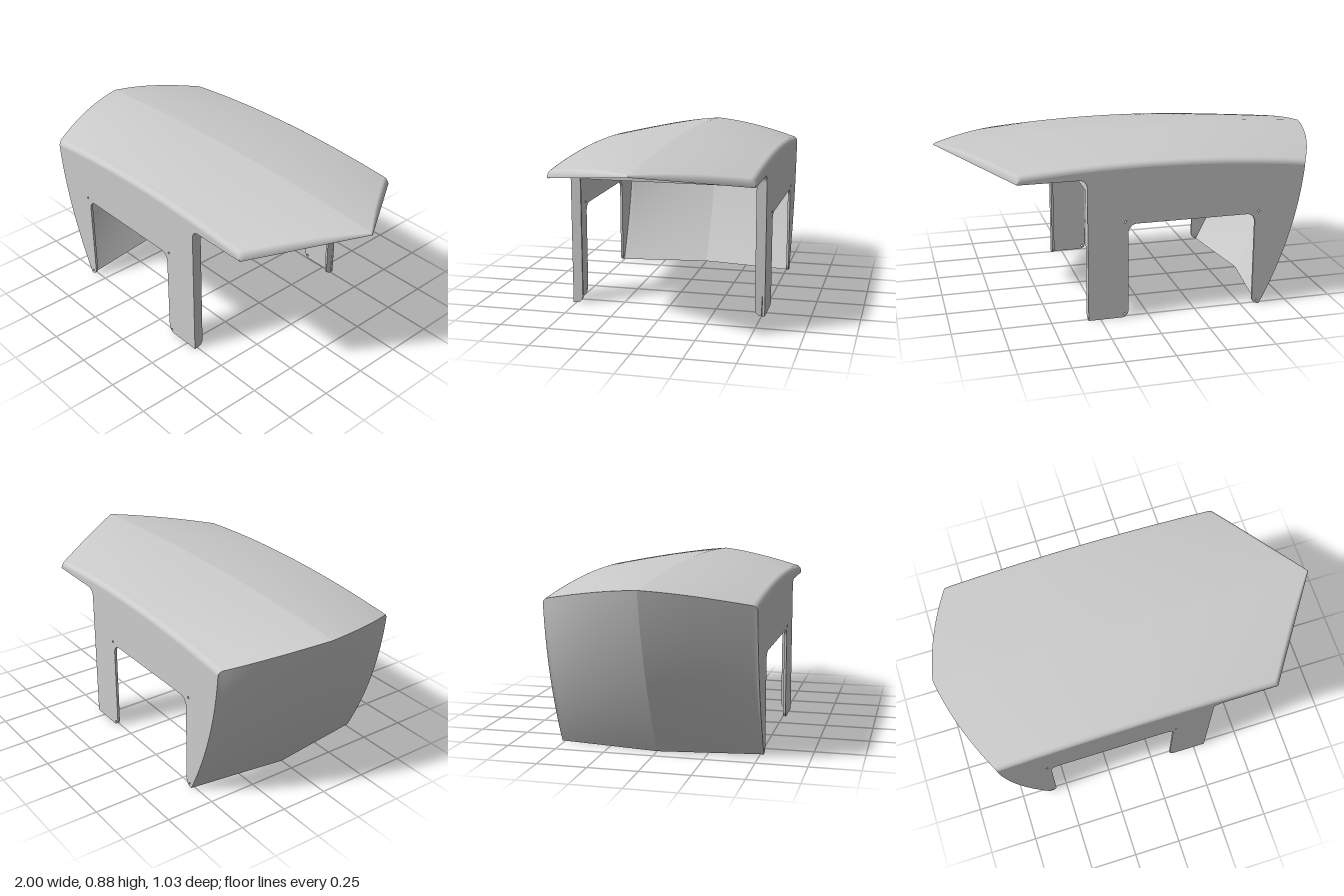
import * as THREE from 'three';

const HALF = 0.517, SKIN = 0.013, INNER = HALF - SKIN;
const BEAM_X = 0.313, BEAM_Y = 0.675, FILLET = 0.04;
const PI = Math.PI, lerp = THREE.MathUtils.lerp;

// Roof cross-section, from ridge (t = 0) over the rounded eave (t = 1)
function section(t) {
  if (t <= 0.85) {
    const k = t / 0.85;
    return { z: 0.487 * k, drop: 0.034 * k + 0.03 * k * k };
  }
  const a = (t - 0.85) / 0.15 * PI / 2;
  return { z: 0.487 + 0.03 * Math.sin(a), drop: 0.064 + 0.028 * (1 - Math.cos(a)) };
}
// Lengthwise crown, stronger towards the eaves
const crown = z => 0.038 + 0.13 * z * z;
const roofY = (x, drop, z) => 0.877 - drop - crown(z) * x * x;
const underY = z => 0.83 - 0.09 * z / HALF;
const tipX = z => 1 - 0.345 * z / HALF;

// Curved, V-shaped end wall: x at height fraction v and half-width z
function prowX(v, z) {
  const k = z / HALF;
  return lerp(-0.67 - 0.33 * v, -0.6 - 0.22 * v, k) - 0.16 * v * (1 - v) - 0.1 * v * k * (1 - k);
}

// Outer roof skin and the rounded nose that ends it
const noseSize = (z, drop) => Math.min(0.03, roofY(tipX(z), drop, z) - underY(z));
function roofPoint(t, v) {
  const { z, drop } = section(t);
  const x = lerp(prowX(1, z), tipX(z) - noseSize(z, drop), v);
  return [x, roofY(x, drop, z), z];
}
function nosePoint(t, v) {
  const { z, drop } = section(t);
  const size = noseSize(z, drop), start = tipX(z) - size, a = v * PI / 2;
  return [start + size * Math.sin(a), lerp(underY(z), roofY(start, drop, z), Math.cos(a)), z];
}

// Inner roof skin, running into the overhang until it meets the underside
function ceilingPoint(t, v) {
  const s = section(t), z = s.z * INNER / HALF;
  const room = 0.877 - s.drop - underY(z) - 2 * SKIN;
  const end = Math.min(Math.sqrt(room / crown(z)), tipX(z) - 0.03);
  const x = lerp(prowX(1, z) + SKIN, end, v);
  return [x, roofY(x, s.drop, z) - SKIN, z];
}

// Blend between the end frame and the overhang
function blendPoint(z, v, radius) {
  const a = v * PI / 2;
  return [BEAM_X + FILLET - radius * Math.cos(a), underY(z) - FILLET + radius * Math.sin(a), z];
}
const between = (p, q, v) => p.map((value, i) => lerp(value, q[i], v));

export function createModel() {
  const group = new THREE.Group();
  const material = new THREE.MeshStandardMaterial({ color: 0xcccccc, side: THREE.DoubleSide });

  function add(name, geometry) {
    const mesh = new THREE.Mesh(geometry, material);
    mesh.name = name;
    group.add(mesh);
    return mesh;
  }

  // Half surface point(t, v), added on both sides of the ridge so the centre stays creased
  function mirrored(name, point, nt, nv, flip) {
    for (const side of [1, -1]) {
      const pos = [], index = [];
      for (let j = 0; j <= nv; j++)
        for (let i = 0; i <= nt; i++) {
          const [x, y, z] = point(i / nt, j / nv);
          pos.push(x, y, side * z);
        }
      for (let j = 0; j < nv; j++)
        for (let i = 0; i < nt; i++) {
          const a = j * (nt + 1) + i, b = a + 1, d = a + nt + 1, c = d + 1;
          if ((side < 0) !== flip) index.push(a, d, b, b, d, c);
          else index.push(a, b, d, b, c, d);
        }
      const geometry = new THREE.BufferGeometry();
      geometry.setAttribute('position', new THREE.Float32BufferAttribute(pos, 3));
      geometry.setIndex(index);
      geometry.computeVertexNormals();
      add(name + (side > 0 ? 'Left' : 'Right'), geometry);
    }
  }

  // Crowned roof skin with rounded nose, and the ceiling inside it
  mirrored('roof', (t, v) => v <= 0.8 ? roofPoint(t, v / 0.8) : nosePoint(t, (v - 0.8) / 0.2), 40, 40, false);
  mirrored('ceiling', ceilingPoint, 40, 24, true);

  // Curved end wall: outside, inside and bottom edge
  mirrored('endWallOutside', (t, v) => {
    const { z } = section(t);
    return [prowX(v, z), v * roofPoint(t, 0)[1], z];
  }, 40, 24, false);
  mirrored('endWallInside', (t, v) => {
    const [, top, z] = ceilingPoint(t, 0);
    return [prowX(v, z) + SKIN, v * top, z];
  }, 40, 24, true);
  mirrored('endWallBottom', (t, v) => {
    const z = t * lerp(HALF, INNER, v);
    return [prowX(0, z) + v * SKIN, 0, z];
  }, 8, 1, true);

  // Pointed overhang: underside and its hidden inner face
  mirrored('overhangUnderside', (t, v) => {
    const z = t * HALF;
    return [lerp(BEAM_X + FILLET, tipX(z), v), underY(z), z];
  }, 8, 1, true);
  mirrored('overhangInside', (t, v) => {
    const end = ceilingPoint(t, 1);
    return between(blendPoint(end[2], 1, FILLET + SKIN), end, v);
  }, 40, 1, false);
  mirrored('frameBlend', (t, v) => blendPoint(t * HALF, v, FILLET), 4, 10, true);
  mirrored('frameBlendInside', (t, v) => blendPoint(t * INNER, v, FILLET + SKIN), 4, 10, false);

  // End frame: thin plate with a wide doorway, drawn across z and turned to face +x
  const frame = new THREE.Shape();
  frame.moveTo(-HALF, 0);
  frame.absarc(-0.5, 0.035, 0.035, -PI / 2, 0, false);
  frame.lineTo(-0.465, BEAM_Y);
  frame.lineTo(0.465, BEAM_Y);
  frame.absarc(0.5, 0.035, 0.035, PI, PI * 1.5, false);
  frame.lineTo(HALF, 0);
  frame.lineTo(HALF, underY(HALF) - FILLET);
  frame.lineTo(0, underY(0) - FILLET);
  frame.lineTo(-HALF, underY(HALF) - FILLET);
  const frameGeometry = new THREE.ExtrudeGeometry(frame, { depth: SKIN, bevelEnabled: false });
  add('endFrame', frameGeometry.rotateY(-PI / 2).translate(BEAM_X, 0, 0));

  // Side wall outline with two legs and a rounded opening
  const wall = new THREE.Shape();
  wall.moveTo(-0.6, 0);
  wall.absarc(-0.595, 0.035, 0.035, -PI / 2, 0, false);
  wall.absarc(-0.515, 0.453, 0.045, PI, PI / 2, true);
  wall.absarc(0.062, 0.453, 0.045, PI / 2, 0, true);
  wall.absarc(0.142, 0.035, 0.035, PI, PI * 1.5, false);
  wall.lineTo(BEAM_X, 0);
  wall.absarc(BEAM_X + FILLET, 0.74 - FILLET, FILLET, PI, PI / 2, true);
  for (let i = 8; i >= 0; i--) wall.lineTo(...nosePoint(1, i / 8).slice(0, 2));
  for (let i = 31; i >= 0; i--) wall.lineTo(...roofPoint(1, i / 32).slice(0, 2));
  wall.quadraticCurveTo(-0.79, roofPoint(1, 0)[1] / 2, -0.6, 0);

  // Small pin holes near the opening corners
  for (const [x, y] of [[-0.58, 0.51], [0.122, 0.51], [0.125, 0.018], [-0.585, 0.018]]) {
    const hole = new THREE.Path();
    hole.absarc(x, y, 0.006, 0, PI * 2, true);
    wall.holes.push(hole);
  }
  const wallGeometry = new THREE.ExtrudeGeometry(wall, { depth: SKIN, bevelEnabled: false, curveSegments: 24 });
  add('sideWallLeft', wallGeometry).position.z = INNER;
  add('sideWallRight', wallGeometry).position.z = -HALF;
  return group;
}
